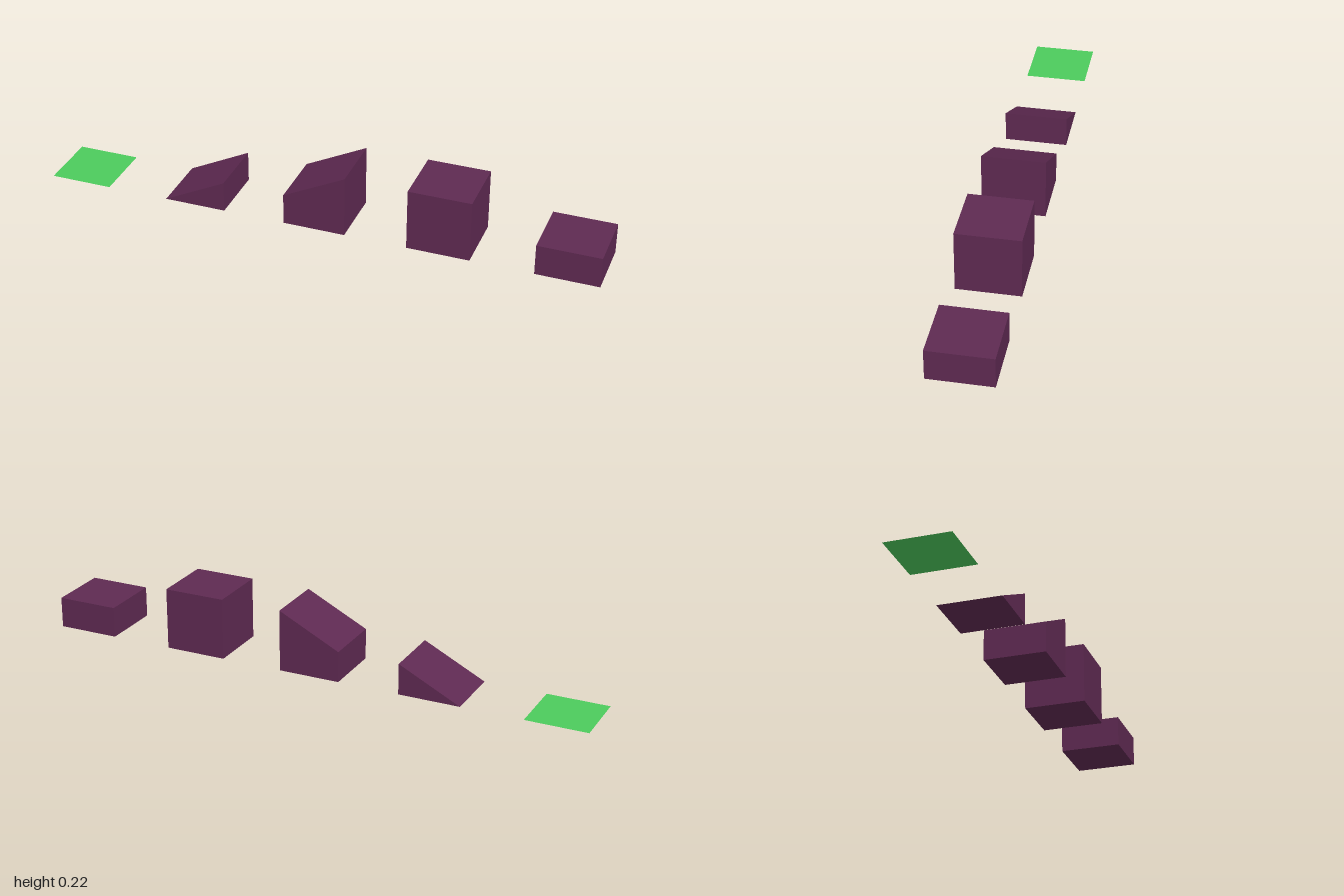
import * as THREE from 'three';

const S = 2 / 9; // side of one tile; tiles are spaced two sides apart
const H = S / 2;

export function createModel() {
  const group = new THREE.Group();
  const purple = new THREE.MeshStandardMaterial({ color: 0x5f2a52, flatShading: true });
  const green = new THREE.MeshStandardMaterial({ color: 0x4ccb5c, side: THREE.DoubleSide });

  const add = (name, geometry, material, slot) => {
    const mesh = new THREE.Mesh(geometry, material);
    mesh.name = name;
    mesh.position.x = slot * 2 * S;
    group.add(mesh);
  };

  // Solid block whose top runs from height a (at -x) to height b (at +x)
  const block = (a, b) => {
    const shape = new THREE.Shape();
    shape.moveTo(-H, 0);
    shape.lineTo(H, 0);
    shape.lineTo(H, b);
    if (a > 0) shape.lineTo(-H, a);
    shape.closePath();
    return new THREE.ExtrudeGeometry(shape, { depth: S, bevelEnabled: false }).translate(0, 0, -H);
  };

  // Flat ground tile
  add('groundTile', new THREE.PlaneGeometry(S, S).rotateX(-Math.PI / 2), green, -2);

  // Ramps and blocks in a row
  add('lowRamp', block(0, H), purple, -1);
  add('highRamp', block(H, S), purple, 0);
  add('fullBlock', block(S, S), purple, 1);
  add('halfBlock', block(H, H), purple, 2);

  return group;
}
